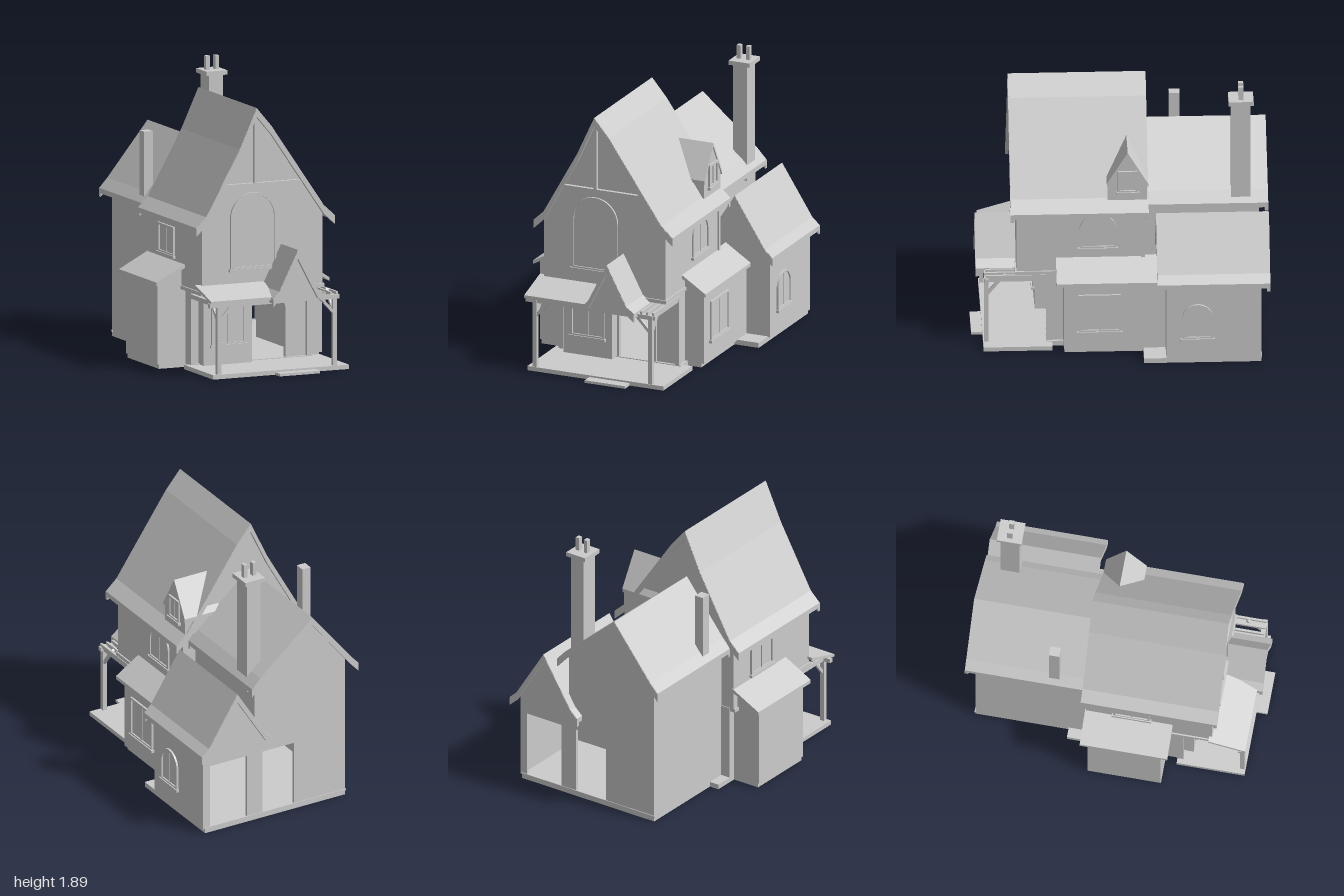
import * as THREE from 'three';

export function createModel() {
  const house = new THREE.Group();
  house.name = 'house';
  const stone = new THREE.MeshStandardMaterial({ color: 0xcccccc, side: THREE.DoubleSide, flatShading: true });
  stone.name = 'pale grey';

  function add(name, geometry, parent = house) {
    const mesh = new THREE.Mesh(geometry, stone);
    mesh.name = name;
    parent.add(mesh);
    return mesh;
  }
  // Box given by its limits on each axis
  function box(name, x0, x1, y0, y1, z0, z1, parent) {
    const mesh = add(name, new THREE.BoxGeometry(x1 - x0, y1 - y0, z1 - z0), parent);
    mesh.position.set((x0 + x1) / 2, (y0 + y1) / 2, (z0 + z1) / 2);
    return mesh;
  }
  const outline = (pts) => new THREE.Shape(pts.map(([x, y]) => new THREE.Vector2(x, y)));
  // Outline in x-y pushed along z from z0 to z1
  function prism(name, shape, z0, z1, parent) {
    const geometry = new THREE.ExtrudeGeometry(shape, { depth: z1 - z0, bevelEnabled: false, curveSegments: 10 });
    geometry.translate(0, 0, z0);
    return add(name, geometry, parent);
  }
  // Roof skin that follows a top profile
  function roof(name, top, thickness, z0, z1, parent) {
    const under = top.map(([x, y]) => [x, y - thickness]).reverse();
    return prism(name, outline([...top, ...under]), z0, z1, parent);
  }
  // Roof skin with raised boards along both gable ends
  function gableRoof(name, top, z0, z1) {
    roof(name, top, 0.035, z0, z1);
    const lowered = top.map(([x, y]) => [x, y - 0.005]);
    roof(name + 'FrontBoard', lowered, 0.055, z1 - 0.022, z1 + 0.002);
    roof(name + 'BackBoard', lowered, 0.055, z0 - 0.002, z0 + 0.022);
  }
  // Opening outline, square or with a round head
  function opening(w, h, arched, Type = THREE.Shape) {
    const s = new Type();
    s.moveTo(-w / 2, 0);
    s.lineTo(w / 2, 0);
    if (arched) {
      s.lineTo(w / 2, h - w / 2);
      s.absarc(0, h - w / 2, w / 2, 0, Math.PI, false);
    } else {
      s.lineTo(w / 2, h);
      s.lineTo(-w / 2, h);
    }
    s.lineTo(-w / 2, 0);
    return s;
  }
  // Window facing local +z, with frame, thin pane, bar and sill
  function windowUnit(name, w, h, arched, x, y, z, turn = 0) {
    const g = new THREE.Group();
    g.name = name;
    const ring = opening(w, h, arched);
    const inner = opening(w - 0.03, h - 0.03, arched, THREE.Path);
    ring.holes.push(new THREE.Path(inner.getPoints(10).map((p) => new THREE.Vector2(p.x, p.y + 0.015))));
    prism('windowFrame', ring, 0, 0.014, g);
    prism('windowPane', opening(w - 0.01, h - 0.01, arched), 0, 0.004, g);
    box('windowBar', -0.005, 0.005, 0.01, h - 0.01, 0, 0.009, g);
    box('windowSill', -w / 2 - 0.01, w / 2 + 0.01, -0.015, 0.004, 0, 0.022, g);
    g.position.set(x, y, z);
    g.rotation.y = turn;
    house.add(g);
  }
  const toRight = Math.PI / 2;

  // Floor slabs and step
  box('mainFloor', -0.5, 0.39, 0, 0.035, -0.3, 0.5);
  box('rearFloor', -0.43, 0.67, 0, 0.035, -0.94, -0.15);
  box('porchFloor', -0.55, 0.46, 0, 0.03, 0.46, 0.925);
  box('porchStep', -0.09, 0.21, 0, 0.018, 0.92, 1.0);
  box('leftBayFloor', -0.7, -0.48, 0, 0.035, -0.12, 0.38);
  box('rightBayFloor', 0.34, 0.49, 0, 0.035, -0.3, 0.38);

  // Ground storey walls, hollow inside
  const frontWall = outline([[-0.5, 0.03], [0.37, 0.03], [0.37, 0.56], [-0.5, 0.56]]);
  const doorHole = opening(0.26, 0.45, true, THREE.Path);
  frontWall.holes.push(new THREE.Path(doorHole.getPoints(10).map((p) => new THREE.Vector2(p.x + 0.06, p.y + 0.035))));
  prism('frontWall', frontWall, 0.46, 0.48);
  const backWall = outline([[-0.43, 0.03], [0.685, 0.03], [0.685, 0.6], [-0.43, 0.6]]);
  for (const [a, b] of [[-0.03, 0.22], [0.34, 0.63]]) {
    backWall.holes.push(new THREE.Path([[a, 0.037], [a, 0.5], [b, 0.5], [b, 0.037]].map(([x, y]) => new THREE.Vector2(x, y))));
  }
  prism('backWall', backWall, -0.94, -0.92);
  box('leftWall', -0.5, -0.48, 0.03, 0.56, -0.16, 0.48);
  box('leftReturnWall', -0.5, -0.42, 0.03, 0.56, -0.17, -0.15);
  box('rearLeftWall', -0.43, -0.41, 0.03, 0.6, -0.94, -0.15);
  box('rightWall', 0.35, 0.37, 0.03, 0.56, -0.3, 0.48);
  box('wingRightWall', 0.665, 0.685, 0.03, 0.62, -0.94, -0.3);
  box('wingFrontWall', 0.35, 0.685, 0.03, 0.62, -0.32, -0.3);
  box('ceiling', -0.43, 0.37, 0.53, 0.56, -0.93, 0.47);

  // Upper storeys, filled up to the roof undersides
  prism('mainUpperStorey', outline([[-0.53, 0.54], [0.37, 0.54], [0.37, 1.06], [-0.03, 1.64], [-0.14, 1.77], [-0.267, 1.49], [-0.53, 1.03]]), -0.165, 0.7);
  prism('rearUpperStorey', outline([[-0.43, 0.55], [0.28, 0.55], [0.28, 1.06], [-0.14, 1.42], [-0.43, 1.05]]), -0.94, -0.15);
  prism('wingGable', outline([[0.23, 0.56], [0.685, 0.56], [0.685, 0.63], [0.45, 0.99], [0.23, 0.64]]), -0.94, -0.3);

  // Large roofs
  gableRoof('mainRoof', [[-0.59, 1.01], [-0.516, 1.08], [-0.267, 1.525], [-0.14, 1.8], [-0.03, 1.67], [0.36, 1.1], [0.443, 1.025]], -0.188, 0.74);
  gableRoof('rearRoof', [[-0.5, 1.01], [-0.44, 1.075], [-0.14, 1.45], [0.27, 1.1], [0.335, 1.03]], -0.998, -0.16);
  gableRoof('wingRoof', [[0.17, 0.62], [0.225, 0.67], [0.45, 1.025], [0.675, 0.67], [0.73, 0.62]], -0.998, -0.24);

  // Side bays with lean-to roofs
  prism('leftBay', outline([[-0.71, 0.03], [-0.49, 0.03], [-0.49, 0.7], [-0.71, 0.59]]), -0.12, 0.38);
  roof('leftBayRoof', [[-0.74, 0.6], [-0.52, 0.715]], 0.025, -0.17, 0.43);
  prism('rightBay', outline([[0.36, 0.03], [0.51, 0.03], [0.51, 0.55], [0.36, 0.64]]), -0.3, 0.385);
  roof('rightBayRoof', [[0.36, 0.665], [0.545, 0.545]], 0.025, -0.29, 0.435);

  // Dormer
  const dormer = new THREE.Group();
  dormer.name = 'dormer';
  prism('dormerBody', outline([[-0.085, 1.08], [0.18, 1.08], [0.18, 1.2], [0.05, 1.43], [-0.085, 1.2]]), 0.1, 0.372, dormer);
  roof('dormerRoof', [[-0.09, 1.22], [0.05, 1.45], [0.19, 1.21]], 0.025, 0.1, 0.38, dormer);
  dormer.rotation.y = toRight;
  house.add(dormer);

  // Windows
  windowUnit('upperFrontWindow', 0.34, 0.52, true, -0.15, 0.7, 0.7);
  windowUnit('dormerWindow', 0.135, 0.16, false, 0.372, 1.15, -0.05, toRight);
  windowUnit('upperRightWindow', 0.25, 0.26, true, 0.37, 0.73, 0.15, toRight);
  windowUnit('upperLeftWindow', 0.25, 0.2, false, -0.53, 0.74, 0.15, -toRight);
  windowUnit('rightBayWindow', 0.285, 0.28, false, 0.51, 0.165, 0.145, toRight);
  windowUnit('wingWindow', 0.21, 0.26, true, 0.685, 0.19, -0.51, toRight);
  box('frontBay', -0.45, -0.09, 0.03, 0.52, 0.47, 0.56);
  windowUnit('frontBayWindow', 0.25, 0.28, false, -0.27, 0.165, 0.56);

  // Door surround
  const surround = opening(0.29, 0.465, true);
  surround.holes.push(doorHole);
  prism('doorSurround', surround, 0.475, 0.495).position.set(0.06, 0.032, 0);

  // Gable timbers, sills and corner posts
  box('gableBeam', -0.39, 0.225, 1.26, 1.285, 0.695, 0.725);
  box('gablePost', -0.15, -0.13, 1.28, 1.75, 0.695, 0.725);
  box('upperSill', -0.54, 0.38, 0.535, 0.56, -0.165, 0.71);
  for (const x of [-0.5, 0.36]) box('cornerPost', x - 0.015, x + 0.018, 0.03, 0.54, 0.455, 0.5);
  box('upperRearPost', 0.36, 0.378, 0.56, 1.03, -0.165, -0.14);
  box('rearFloorBand', -0.435, 0.675, 0.03, 0.042, -0.945, -0.93);

  // Porch frame
  for (const [x, dir] of [[-0.5, 1], [0.36, -1]]) {
    box('porchPost', x - 0.015, x + 0.015, 0.03, 0.5, 0.89, 0.92);
    box('porchSideBeam', x - 0.015, x + 0.015, 0.485, 0.515, 0.48, 0.92);
    const sideBrace = box('sideBrace', -0.01, 0.01, -0.095, 0.095, -0.01, 0.01);
    sideBrace.position.set(x, 0.46, 0.84);
    sideBrace.rotation.x = -0.68;
    const frontBrace = box('frontBrace', -0.01, 0.01, -0.07, 0.07, -0.01, 0.01);
    frontBrace.position.set(x + dir * 0.05, 0.44, 0.905);
    frontBrace.rotation.z = -dir * 0.75;
  }
  box('porchFrontBeam', -0.57, 0.395, 0.485, 0.515, 0.885, 0.915);
  for (let i = 0; i < 3; i++) box('porchRafter', 0.28 + i * 0.045, 0.295 + i * 0.045, 0.51, 0.535, 0.5, 0.91);
  const leanTo = roof('porchRoof', [[-0.935, 0.535], [-0.68, 0.61]], 0.02, -0.57, -0.07);
  leanTo.rotation.y = toRight;
  gableRoof('porchGableRoof', [[-0.125, 0.53], [-0.08, 0.575], [0.06, 0.85], [0.205, 0.575], [0.262, 0.53]], 0.69, 0.97);
  prism('porchGable', outline([[-0.09, 0.5], [0.21, 0.5], [0.2, 0.56], [0.06, 0.82], [-0.08, 0.56]]), 0.92, 0.94);

  // Chimneys
  box('tallChimney', 0.2, 0.305, 0.95, 1.77, -0.88, -0.75);
  box('chimneyCap', 0.175, 0.33, 1.765, 1.795, -0.902, -0.733);
  for (const x of [0.218, 0.286]) box('chimneyPot', x - 0.014, x + 0.014, 1.79, 1.89, -0.835, -0.8);
  box('smallChimney', -0.465, -0.4, 1.0, 1.49, -0.43, -0.358);

  return house;
}
